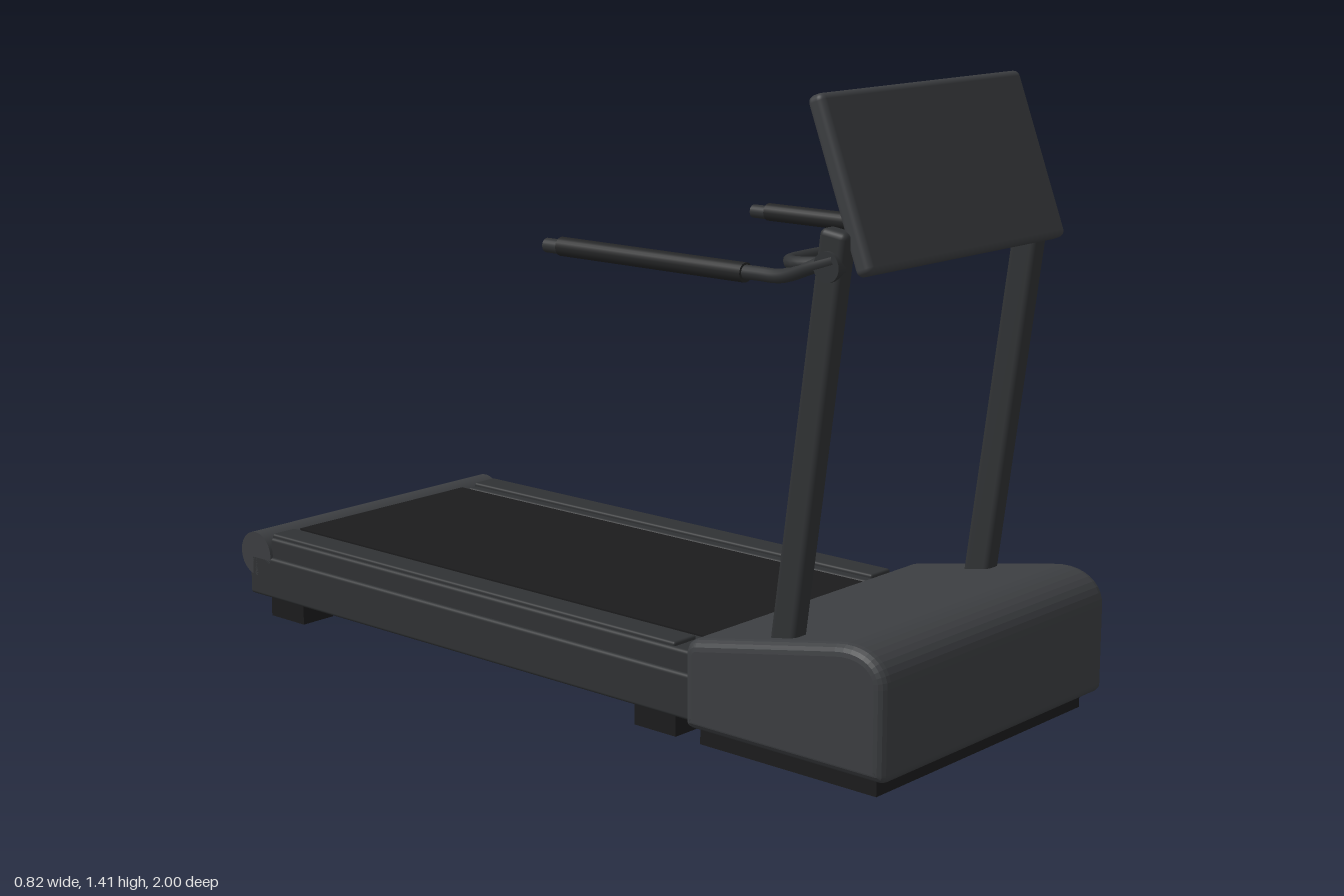
import * as THREE from 'three';
import { RoundedBoxGeometry } from 'three/addons/geometries/RoundedBoxGeometry.js';

const paint = (color) => new THREE.MeshStandardMaterial({ color });

export function createModel() {
  const model = new THREE.Group();
  const body = paint(0x3c3e41), frame = paint(0x303234), rubber = paint(0x1c1c1d), grip = paint(0x242526);

  const add = (name, geometry, material, x = 0, y = 0, z = 0) => {
    const mesh = new THREE.Mesh(geometry, material);
    mesh.name = name;
    mesh.position.set(x, y, z);
    model.add(mesh);
    return mesh;
  };
  // Box given by its limits, with optional rounded edges
  const block = (name, material, [x0, x1], [y0, y1], [z0, z1], r = 0) => {
    const size = [x1 - x0, y1 - y0, z1 - z0];
    const geometry = r ? new RoundedBoxGeometry(...size, 3, r) : new THREE.BoxGeometry(...size);
    return add(name, geometry, material, (x0 + x1) / 2, (y0 + y1) / 2, (z0 + z1) / 2);
  };
  const tube = (name, material, points, r) => {
    const path = new THREE.CatmullRomCurve3(points.map((p) => new THREE.Vector3(...p)), false, 'centripetal');
    return add(name, new THREE.TubeGeometry(path, 48, r, 14), material);
  };
  // Capped rod lying along x or z
  const rod = (name, material, axis, r, length, x, y, z) => {
    const geometry = new THREE.CylinderGeometry(r, r, length, 24);
    if (axis === 'x') geometry.rotateZ(Math.PI / 2);
    else geometry.rotateX(Math.PI / 2);
    return add(name, geometry, material, x, y, z);
  };

  // Motor hood: side profile (z, y) extruded across the width
  const profile = new THREE.Shape();
  profile.moveTo(0.49, 0.04);
  profile.lineTo(0.98, 0.04);
  profile.quadraticCurveTo(1.0, 0.04, 1.0, 0.06);
  profile.lineTo(1.0, 0.24);
  profile.bezierCurveTo(1.0, 0.29, 0.95, 0.328, 0.87, 0.312);
  profile.lineTo(0.5, 0.242);
  profile.quadraticCurveTo(0.47, 0.235, 0.47, 0.205);
  profile.lineTo(0.47, 0.06);
  profile.quadraticCurveTo(0.47, 0.04, 0.49, 0.04);
  const bevel = 0.025;
  const hood = new THREE.ExtrudeGeometry(profile, {
    depth: 0.82 - 2 * bevel, bevelThickness: bevel, bevelSize: bevel,
    bevelOffset: -bevel, bevelSegments: 4, curveSegments: 10,
  });
  hood.translate(0, 0, -0.41 + bevel);
  hood.rotateY(-Math.PI / 2);
  add('motorHood', hood, body);
  block('hoodBase', rubber, [-0.375, 0.375], [0, 0.06], [0.49, 0.96]);

  // Running deck
  block('deck', rubber, [-0.3, 0.3], [0.06, 0.195], [-0.94, 0.5]);
  block('runningBelt', rubber, [-0.283, 0.283], [0.19, 0.206], [-0.945, 0.5]);
  block('rearCrossBar', frame, [-0.4, 0.4], [0.055, 0.115], [-0.97, -0.9], 0.008);
  rod('rearRoller', body, 'x', 0.055, 0.8, 0, 0.16, -0.945);

  // Console panel, leaning back
  const panel = add('consolePanel', new RoundedBoxGeometry(0.7, 0.375, 0.042, 4, 0.015), body, 0, 1.23, 0.82);
  panel.rotation.x = -0.365;

  // Front handlebar, with both ends bent forward to the uprights
  const half = [[0.3, 1.065, 0.685], [0.335, 1.065, 0.69], [0.356, 1.065, 0.715], [0.36, 1.075, 0.82]];
  tube('frontHandlebar', frame,
    [...half.map(([x, y, z]) => [-x, y, z]).reverse(), ...half], 0.015);
  rod('frontGrip', grip, 'x', 0.021, 0.37, 0, 1.06, 0.685);

  for (const s of [-1, 1]) {
    const across = (a, b) => (s > 0 ? [a, b] : [-b, -a]);
    // Side rails: wide lower beam, narrower upper beam and foot strip
    block('lowerRail', frame, across(0.28, 0.4), [0.055, 0.158], [-0.965, 0.5], 0.008);
    block('upperRail', frame, across(0.288, 0.392), [0.14, 0.207], [-0.9, 0.5], 0.008);
    block('footStrip', frame, across(0.312, 0.385), [0.19, 0.216], [-0.9, 0.425], 0.006);
    for (const [z0, z1] of [[0.3, 0.42], [-0.92, -0.8]])
      block('foot', rubber, across(0.28, 0.375), [0, 0.06], [z0, z1]);

    // Upright, leaning forward
    const bottom = new THREE.Vector2(0.695, 0.2), top = new THREE.Vector2(0.822, 1.143);
    const upright = add('upright',
      new RoundedBoxGeometry(0.046, bottom.distanceTo(top), 0.068, 3, 0.014), frame,
      s * 0.347, (bottom.y + top.y) / 2, (bottom.x + top.x) / 2);
    upright.rotation.x = Math.atan2(top.x - bottom.x, top.y - bottom.y);

    // Side arm with grip, end cap and mounting bolt
    tube('sideArm', frame, [[s * 0.366, 1.085, 0.83], [s * 0.366, 1.065, 0.77],
      [s * 0.36, 1.037, 0.69], [s * 0.356, 1.034, 0.62], [s * 0.354, 1.031, 0.08]], 0.015);
    rod('armGrip', grip, 'z', 0.021, 0.52, s * 0.355, 1.032, 0.33);
    rod('armEndCap', frame, 'z', 0.016, 0.06, s * 0.354, 1.03, 0.055);
    rod('armMount', frame, 'x', 0.032, 0.025, s * 0.366, 1.07, 0.815);
  }
  return model;
}
